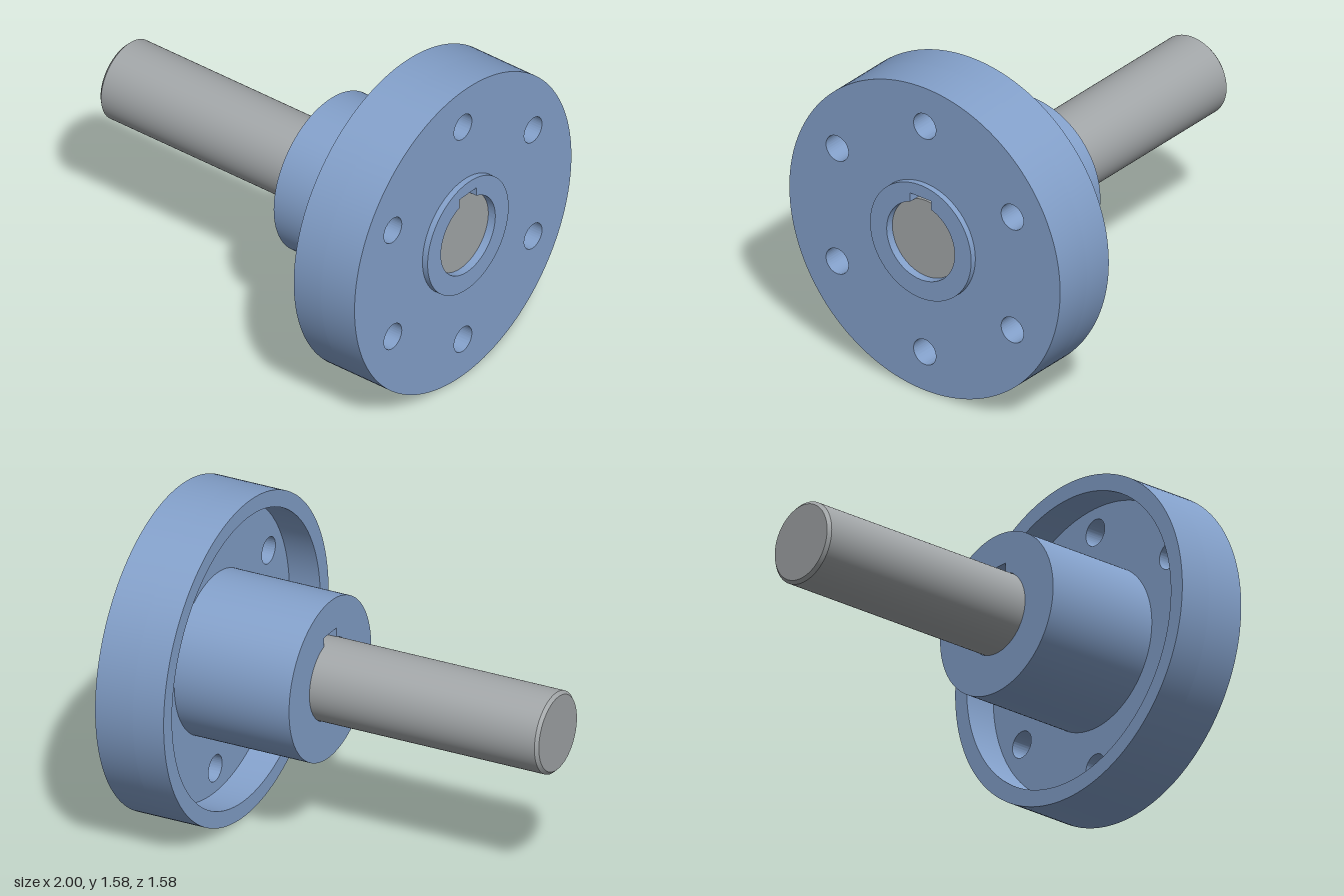
import * as THREE from 'three';
import { toCreasedNormals } from 'three/addons/utils/BufferGeometryUtils.js';

const BORE = 0.198, KEY_HALF = 0.061, KEY_TOP = 0.233, RADIUS = 0.79;

const disc = (r) => new THREE.Shape().absarc(0, 0, r, 0, Math.PI * 2, false);
const circleHole = (x, y, r) => new THREE.Path().absarc(x, y, r, 0, Math.PI * 2, true);

// Round bore with a rectangular keyway at the top
function keyedBore() {
  const a = Math.asin(KEY_HALF / BORE);
  const p = new THREE.Path();
  p.moveTo(KEY_HALF, BORE * Math.cos(a));
  p.lineTo(KEY_HALF, KEY_TOP);
  p.lineTo(-KEY_HALF, KEY_TOP);
  p.absarc(0, 0, BORE, Math.PI / 2 + a, Math.PI * 2.5 - a, false);
  return p;
}

// Extrude a shape with holes along the axis from z0 to z1
function slab(shape, holes, z0, z1) {
  shape.holes.push(...holes);
  const g = new THREE.ExtrudeGeometry(shape, { depth: z1 - z0, bevelEnabled: false, curveSegments: 80 });
  g.translate(0, 0, z0);
  return toCreasedNormals(g, 0.5);
}

export function createModel() {
  const blue = new THREE.MeshStandardMaterial({ color: 0x83a0ca });
  blue.name = 'blue';
  const steel = new THREE.MeshStandardMaterial({ color: 0xa2a6a8 });
  steel.name = 'steel grey';

  const model = new THREE.Group();
  model.name = 'flangeCouplingHalf';
  // Parts are built along local z, which is turned to point along +x
  const axis = new THREE.Group();
  axis.name = 'axisAssembly';
  axis.rotation.y = Math.PI / 2;
  axis.position.y = RADIUS;
  model.add(axis);

  const add = (name, geometry, material) => {
    const mesh = new THREE.Mesh(geometry, material);
    mesh.name = name;
    axis.add(mesh);
  };

  // Flange plate with six bolt holes
  const boltHoles = [];
  for (let i = 0; i < 6; i++) {
    const a = Math.PI / 2 + (i * Math.PI) / 3;
    boltHoles.push(circleHole(0.59 * Math.cos(a), 0.59 * Math.sin(a), 0.065));
  }
  add('flangePlate', slab(disc(RADIUS), [keyedBore(), ...boltHoles], 0.775, 0.97), blue);

  // Protective rim, hub and locating spigot
  add('rim', slab(disc(RADIUS), [circleHole(0, 0, 0.71)], 0.615, 0.775), blue);
  add('hub', slab(disc(0.393), [keyedBore()], 0.18, 0.775), blue);
  add('spigot', slab(disc(0.295), [keyedBore()], 0.97, 1.0), blue);

  // Shaft, chamfered at its free end and recessed in the spigot
  const profile = [[0, -1], [0.182, -1], [0.197, -0.985], [0.197, 0.96], [0, 0.96]]
    .map(([r, y]) => new THREE.Vector2(r, y));
  const shaft = new THREE.LatheGeometry(profile, 96);
  shaft.rotateX(Math.PI / 2);
  add('shaft', toCreasedNormals(shaft, 0.5), steel);

  // Round-ended key seated in the shaft
  const plan = new THREE.Shape();
  plan.absarc(0, 0.84, 0.06, 0, Math.PI, false);
  plan.absarc(0, 0.32, 0.06, Math.PI, Math.PI * 2, false);
  plan.closePath();
  const key = new THREE.ExtrudeGeometry(plan, { depth: 0.1, bevelEnabled: false, curveSegments: 20 });
  key.rotateX(Math.PI / 2);
  key.translate(0, KEY_TOP - 0.002, 0);
  add('key', toCreasedNormals(key, 0.5), steel);

  return model;
}
